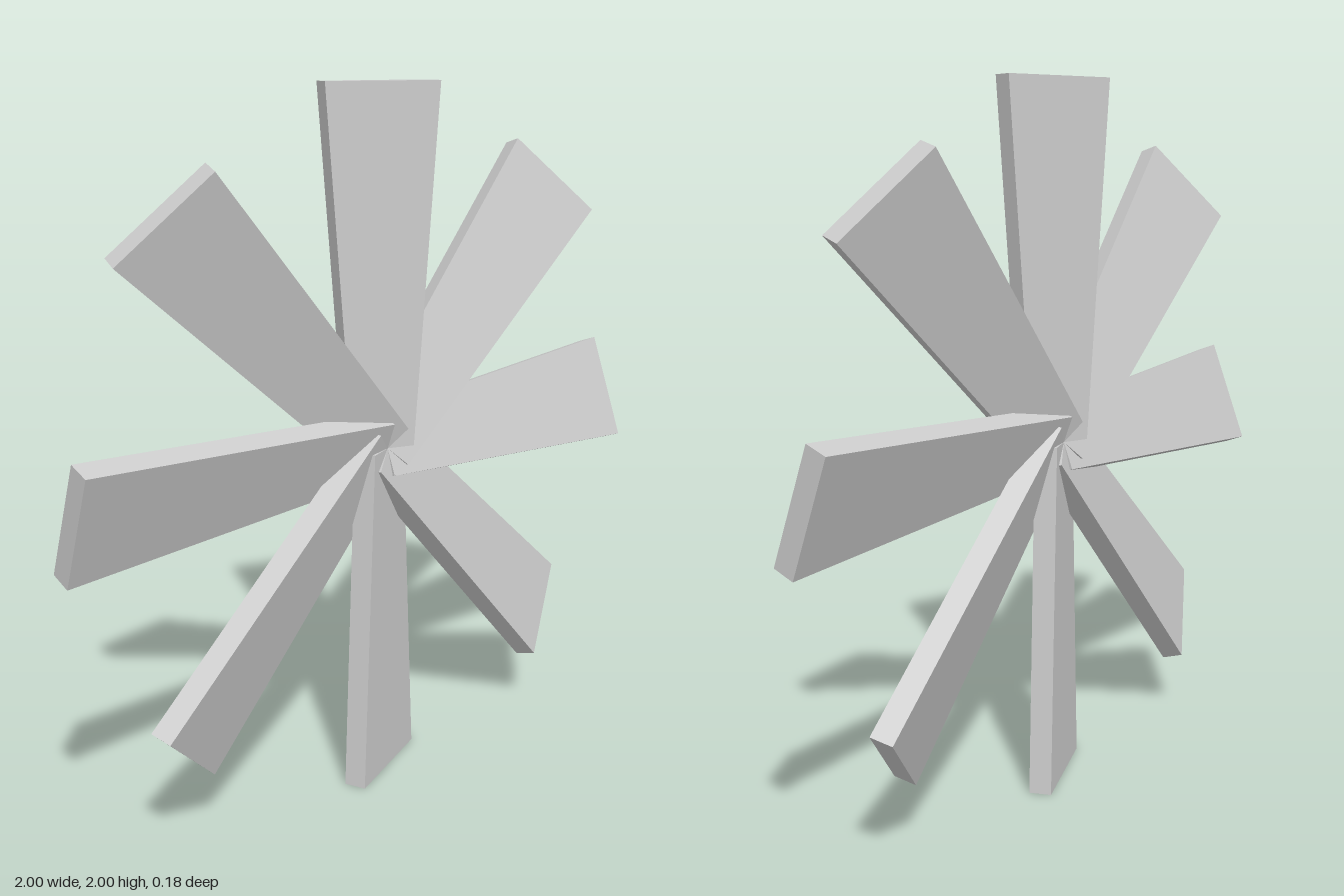
import * as THREE from 'three';

const BLADES = 8;
const PITCH = 0.365;      // blade twist about its own length
const TIP_WIDTH = 0.328;
const ROOT_WIDTH = 0.185;
const THICKNESS = 0.064;

// Tapered slab running from the centre (y = 0) to the tip (y = 1), pitched about y
function bladeGeometry() {
  const geo = new THREE.BoxGeometry(1, 1, THICKNESS);
  geo.translate(0, 0.5, 0);
  const pos = geo.attributes.position;
  for (let i = 0; i < pos.count; i++) {
    pos.setX(i, pos.getX(i) * THREE.MathUtils.lerp(ROOT_WIDTH, TIP_WIDTH, pos.getY(i)));
  }
  geo.rotateY(-PITCH);
  geo.computeVertexNormals();
  return geo;
}

export function createModel() {
  const model = new THREE.Group();
  model.name = 'fanRotor';
  const material = new THREE.MeshStandardMaterial({ color: 0xcccccc, flatShading: true });
  const geo = bladeGeometry();

  // Blades spaced evenly around the axis, meeting at the middle
  for (let i = 0; i < BLADES; i++) {
    const blade = new THREE.Mesh(geo, material);
    blade.name = `blade${i + 1}`;
    blade.position.y = 1;
    blade.rotation.z = (i / BLADES) * Math.PI * 2;
    model.add(blade);
  }
  return model;
}
